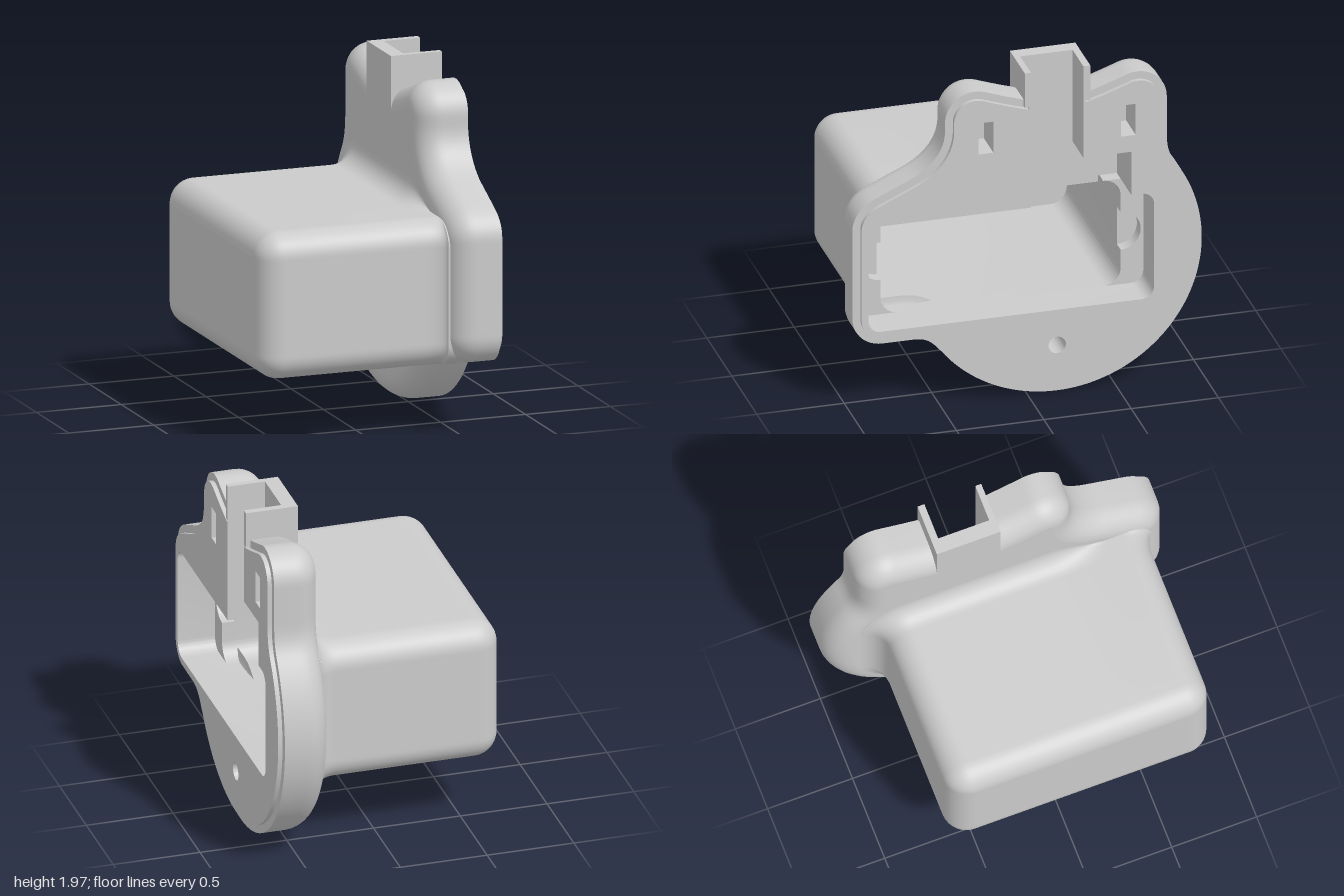
import * as THREE from 'three';
import { toCreasedNormals } from 'three/addons/utils/BufferGeometryUtils.js';

const PI = Math.PI;
const material = new THREE.MeshStandardMaterial({ color: 0xcccccc, side: THREE.DoubleSide });
const V = (x, y) => new THREE.Vector2(x, y);
const closedPoints = (shape, n) => shape.getSpacedPoints(n).slice(0, -1);

// Outward normals of a counter-clockwise path
function normals(pts, closed) {
  const n = pts.length;
  return pts.map((p, i) => {
    const a = closed ? pts[(i + n - 1) % n] : pts[Math.max(i - 1, 0)];
    const b = closed ? pts[(i + 1) % n] : pts[Math.min(i + 1, n - 1)];
    return V(b.y - a.y, a.x - b.x).normalize();
  });
}

// Move a path outward (or inward when d is negative)
function offset(pts, d, closed) {
  const nor = normals(pts, closed);
  return pts.map((p, i) => p.clone().addScaledVector(nor[i], d));
}

// Skin through rings [points, depth], listed from low to high depth
function loft(rings, closed) {
  const n = rings[0][0].length, pos = [], idx = [];
  for (const [pts, w] of rings) for (const p of pts) pos.push(p.x, p.y, w);
  for (let i = 0; i < rings.length - 1; i++) {
    for (let j = 0; j < (closed ? n : n - 1); j++) {
      const k = (j + 1) % n, a = i * n + j, b = i * n + k;
      idx.push(a, b, b + n, a, b + n, a + n);
    }
  }
  const g = new THREE.BufferGeometry();
  g.setAttribute('position', new THREE.Float32BufferAttribute(pos, 3));
  g.setIndex(idx);
  return toCreasedNormals(g, 0.6);
}

// Flat face at a given depth
function face(shape, w, back = false) {
  const g = new THREE.ShapeGeometry(shape, 24);
  if (back) g.index.array.reverse();
  if (back) g.computeVertexNormals();
  return g.translate(0, 0, w);
}

function rect(x0, x1, y0, y1, r = 0) {
  const s = new THREE.Shape();
  if (!r) return s.setFromPoints([V(x0, y0), V(x1, y0), V(x1, y1), V(x0, y1)]);
  s.moveTo(x0 + r, y0).absarc(x1 - r, y0 + r, r, -PI / 2, 0);
  s.absarc(x1 - r, y1 - r, r, 0, PI / 2).absarc(x0 + r, y1 - r, r, PI / 2, PI);
  s.absarc(x0 + r, y0 + r, r, PI, 1.5 * PI);
  return s;
}

// Silhouette of the flange, open where the channel cuts its top edge
function flangePath() {
  const s = new THREE.Path();
  s.moveTo(0.015, 1.805).quadraticCurveTo(-0.073, 1.828, -0.242, 1.89);
  s.absarc(-0.3, 1.73, 0.17, 1.22, PI).lineTo(-0.47, 1.68);
  s.bezierCurveTo(-0.47, 1.56, -0.55, 1.47, -0.65, 1.42).lineTo(-0.88, 1.315);
  s.bezierCurveTo(-0.95, 1.28, -1, 1.22, -1, 1.14).lineTo(-1, 0.6);
  s.absarc(-0.83, 0.6, 0.17, PI, 1.5 * PI).lineTo(-0.66, 0.43);
  s.bezierCurveTo(-0.58, 0.43, -0.55, 0.41, -0.5, 0.345);
  s.absarc(0.17, 0.84, 0.83, 1.203 * PI, 2.193 * PI);
  s.bezierCurveTo(0.81, 1.375, 0.8, 1.42, 0.8, 1.5).lineTo(0.8, 1.73);
  s.absarc(0.63, 1.73, 0.17, 0, 1.92).quadraticCurveTo(0.403, 1.828, 0.315, 1.805);
  return s.getSpacedPoints(300);
}

// Edge of the channel, side recess and wide pocket
function notchPath() {
  const s = new THREE.Path(), r = 0.07;
  s.moveTo(0.315, 1.79).lineTo(0.315, 1.425).lineTo(0.59, 1.425).lineTo(0.59, 1.16);
  s.lineTo(0.65, 1.16).absarc(0.65, 1.09, r, PI / 2, 0, true);
  s.absarc(0.65, 0.585, r, 0, -PI / 2, true).absarc(-0.845, 0.585, r, -PI / 2, -PI, true);
  s.absarc(-0.845, 1.09, r, PI, PI / 2, true).lineTo(0.015, 1.16).lineTo(0.015, 1.79);
  return s.getPoints(8);
}

// Ledge beside the cavity, with a half-round bite
function ledgeShape() {
  const s = new THREE.Shape();
  s.moveTo(-0.685, 1.16).lineTo(-0.845, 1.16).absarc(-0.845, 1.09, 0.07, PI / 2, PI);
  s.absarc(-0.845, 0.585, 0.07, PI, 1.5 * PI).lineTo(-0.685, 0.515);
  s.absarc(-0.685, 0.615, 0.1, 1.5 * PI, PI, true);
  s.absarc(-0.785, 0.84, 0.115, 1.5 * PI, 0.5 * PI, true);
  s.absarc(-0.685, 1.06, 0.1, PI, PI / 2, true);
  return s;
}

export function createModel() {
  const root = new THREE.Group(), body = new THREE.Group();
  body.name = 'housing';
  body.rotation.y = PI / 2; // built in (-z, y, x) so depth runs along x
  root.add(body);
  const add = (name, g) => {
    const m = new THREE.Mesh(g, material);
    m.name = name;
    body.add(m);
    return m;
  };
  const block = (name, x0, x1, y0, y1, z0, z1) => add(name,
    new THREE.BoxGeometry(x1 - x0, y1 - y0, z1 - z0).translate((x0 + x1) / 2, (y0 + y1) / 2, (z0 + z1) / 2));
  const FRONT = 0.69, RIM = 0.665, BACK = 0.39, LEDGE = 0.475, STEP = 0.4, FLOOR = -0.6, R = 0.14;

  // Flange with a rounded back edge
  const outline = flangePath(), rings = [];
  for (let i = 0; i <= 8; i++) {
    const a = (i / 8) * PI / 2;
    rings.push([offset(outline, -R * (1 - Math.sin(a))), BACK + R * (1 - Math.cos(a))]);
  }
  rings.push([outline, RIM]);
  add('flangeSide', loft(rings));
  const inner = rings[0][0];
  [p => V(p.x, Math.max(p.y, 1.2)), p => V(p.x, Math.min(p.y, 0.47)), p => V(Math.max(p.x, 0.66), p.y)]
    .forEach(clip => add('flangeBack', face(new THREE.Shape(inner.map(clip)), BACK, true)));

  // Stepped rim and raised front face
  const lip = offset(outline, -0.045), notch = notchPath();
  add('rim', face(new THREE.Shape([...outline, ...lip.slice().reverse()]), RIM));
  add('lipSide', loft([[lip, RIM], [lip, FRONT]]));
  const front = new THREE.Shape([...lip, ...notch]);

  // Two slots and a screw hole
  const screw = new THREE.Shape().absarc(0.165, 0.3, 0.05, 0, 2 * PI);
  [['slot', rect(-0.285, -0.2, 1.525, 1.715)], ['slot', rect(0.53, 0.615, 1.525, 1.715)], ['screwHole', screw]]
    .forEach(([name, s]) => {
      front.holes.push(s);
      const p = s.getPoints(24).reverse();
      add(name + 'Wall', loft([[p, 0.5], [p, FRONT]], true));
      add(name + 'Floor', face(s, 0.5));
    });
  add('frontFace', face(front, FRONT));

  // Channel and pocket walls, floor and ledges
  add('pocketWall', loft([[notch, LEDGE], [notch, FRONT]]));
  add('channelFloor', face(new THREE.Shape([V(0.015, 1.16), V(0.46, 1.16), V(0.46, 1.325), V(0.59, 1.325),
    V(0.59, 1.425), V(0.315, 1.425), V(0.315, 1.79), V(0.015, 1.79)]), LEDGE));
  const ledge = ledgeShape();
  add('rightLedge', face(ledge, LEDGE));
  add('leftLedge', face(new THREE.Shape(ledge.getPoints(24).map(p => V(-0.195 - p.x, p.y))), LEDGE));

  // Half-round and square recesses opening into the cavity
  const step = new THREE.Shape();
  step.moveTo(-0.685, 0.515).absarc(0.49, 0.615, 0.1, -PI / 2, 0);
  step.absarc(0.59, 0.84, 0.115, -PI / 2, PI / 2).absarc(0.49, 1.06, 0.1, 0, PI / 2);
  step.lineTo(0.59, 1.16).lineTo(0.59, 1.325).lineTo(0.46, 1.325).lineTo(0.46, 1.16);
  step.absarc(-0.685, 1.06, 0.1, PI / 2, PI).absarc(-0.785, 0.84, 0.115, PI / 2, 1.5 * PI);
  step.absarc(-0.685, 0.615, 0.1, PI, 1.5 * PI);
  const stepPts = step.getPoints(16).reverse();
  add('recessWall', loft([[stepPts, STEP], [stepPts, LEDGE]], true));
  add('squareRecessFloor', face(rect(0.46, 0.59, 1.16, 1.325), STEP));
  add('roundRecessFloor', face(new THREE.Shape().absarc(0.59, 0.84, 0.115, -PI / 2, PI / 2), STEP));
  add('roundRecessFloor', face(new THREE.Shape().absarc(-0.785, 0.84, 0.115, PI / 2, 1.5 * PI), STEP));

  // Deep cavity with two ribs on its floor
  const cavity = rect(-0.785, 0.59, 0.515, 1.16, 0.1), cavityPts = cavity.getPoints(10).reverse();
  add('cavityWall', loft([[cavityPts, FLOOR], [cavityPts, STEP]], true));
  add('cavityFloor', face(cavity, FLOOR));
  block('floorRib', -0.375, 0.165, 0.97, 1.08, FLOOR, FLOOR + 0.03);
  block('floorRib', -0.375, 0.165, 0.595, 0.71, FLOOR, FLOOR + 0.03);

  // Rear box: rounded end, straight sides, fillet spreading into the flange
  const box = closedPoints(rect(-0.865, 0.68, 0.41, 1.245, R), 260), boxNormals = normals(box, true);
  const flare = box.map((p, i) => {
    if (p.x < -0.7) return 0.4 * boxNormals[i].x ** 2;
    const room = p.y < 0.84 ? (0.7 - p.distanceTo(V(0.17, 0.84))) / 0.12 : 1;
    return THREE.MathUtils.smoothstep(p.x, -0.65, -0.3) * THREE.MathUtils.clamp(room, 0, 1);
  });
  const boxRings = [];
  for (let i = 0; i <= 8; i++) {
    const a = (i / 8) * PI / 2;
    boxRings.push([offset(box, -R * (1 - Math.sin(a)), true), -0.69 + R * (1 - Math.cos(a))]);
  }
  const spread = d => box.map((p, i) => p.clone().addScaledVector(boxNormals[i], d * flare[i]));
  for (let i = 0; i <= 8; i++) {
    const a = (i / 8) * PI / 2;
    boxRings.push([spread(0.12 * (1 - Math.cos(a))), BACK - 0.12 * (1 - Math.sin(a))]);
  }
  boxRings.push([spread(0.12), 0.47]);
  add('boxSide', loft(boxRings, true));
  add('boxEnd', face(rect(-0.725, 0.54, 0.55, 1.105), -0.69, true));

  // Channel mouth standing above the flange
  block('channelBack', -0.02, 0.355, 1.6, 1.985, BACK, LEDGE);
  block('channelSide', -0.02, 0.015, 1.775, 1.985, BACK, FRONT);
  block('channelSide', 0.315, 0.355, 1.775, 1.985, BACK, FRONT);
  return root;
}
